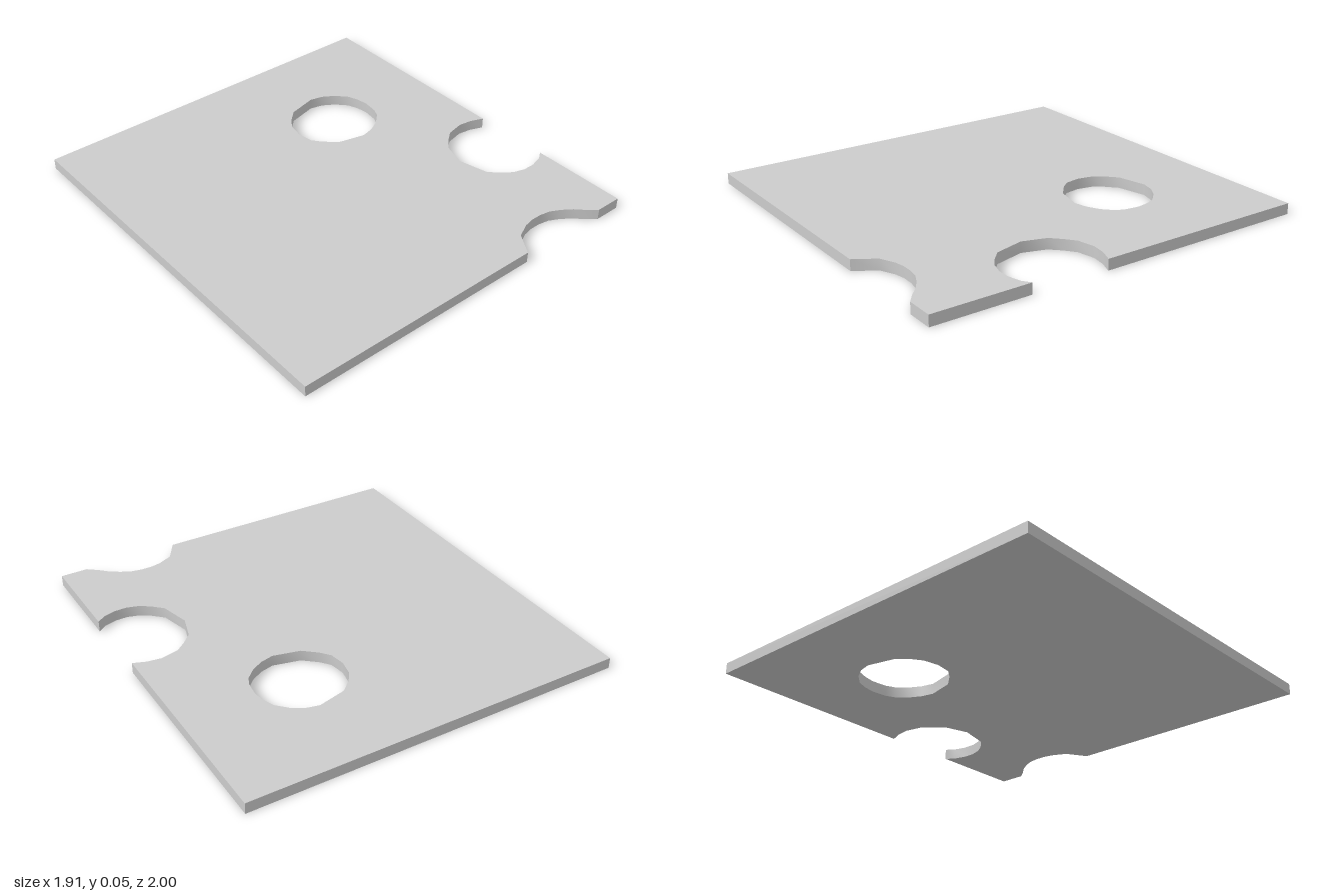
import * as THREE from 'three';
import { toCreasedNormals } from 'three/addons/utils/BufferGeometryUtils.js';

const HALF_WIDTH = 0.955;
const THICKNESS = 0.055;

// Plan points are [x, z]; the shape is drawn with y = -z and then laid flat.
const plan = (points) => points.map(([x, z]) => new THREE.Vector2(x, -z));

export function createModel() {
  const group = new THREE.Group();

  // Bite in the front edge, left to right
  const frontBite = [
    [0.33, 1], [0.395, 0.895], [0.47, 0.86], [0.52, 0.85], [0.575, 0.85],
    [0.63, 0.86], [0.68, 0.885], [0.73, 0.92], [0.77, 0.96], [0.82, 1],
  ];

  // Bite in the side edge, front to back
  const sideBite = [
    [HALF_WIDTH, 0.505], [0.915, 0.535], [0.85, 0.553], [0.79, 0.553], [0.73, 0.535],
    [0.68, 0.5], [0.63, 0.45], [0.593, 0.3], [0.63, 0.18], [0.68, 0.13],
    [0.73, 0.09], [0.82, 0.07], [0.89, 0.08], [HALF_WIDTH, 0.105],
  ];

  // Faceted round hole
  const hole = [
    [0.375, -0.612], [0.44, -0.597], [0.5, -0.56], [0.55, -0.507], [0.57, -0.454],
    [0.58, -0.395], [0.57, -0.316], [0.55, -0.274], [0.5, -0.226], [0.44, -0.194],
    [0.375, -0.178], [0.24, -0.21], [0.173, -0.268], [0.136, -0.316], [0.124, -0.395],
    [0.14, -0.475], [0.173, -0.523], [0.23, -0.576],
  ];

  const outline = new THREE.Shape(plan([
    [-HALF_WIDTH, 1], ...frontBite, [HALF_WIDTH, 1],
    ...sideBite, [HALF_WIDTH, -1], [-HALF_WIDTH, -1],
  ]));
  outline.holes.push(new THREE.Path(plan(hole)));

  // Flat plate
  const geometry = new THREE.ExtrudeGeometry(outline, { depth: THICKNESS, bevelEnabled: false });
  geometry.rotateX(-Math.PI / 2);
  const plate = new THREE.Mesh(
    toCreasedNormals(geometry, THREE.MathUtils.degToRad(35)),
    new THREE.MeshStandardMaterial({ color: 0xcccccc }),
  );
  plate.name = 'plate';
  group.add(plate);

  return group;
}
